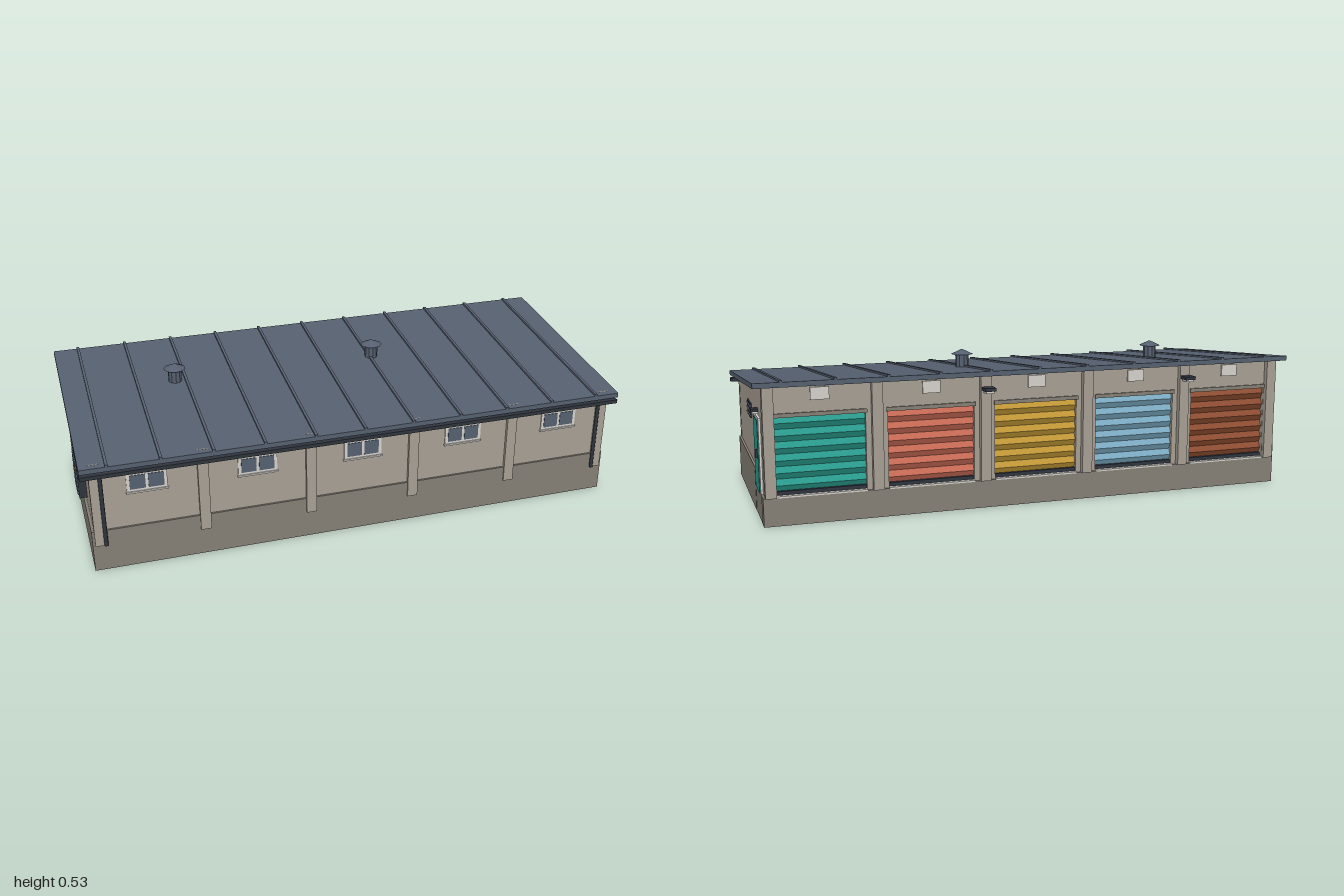
import * as THREE from 'three';

const mat = (name, color, side = THREE.FrontSide) => {
  const m = new THREE.MeshStandardMaterial({ color, side });
  m.name = name;
  return m;
};

export function createModel() {
  const root = new THREE.Group();
  root.name = 'storageUnits';

  const wall = mat('wallRender', 0xa8a095);
  const plinth = mat('plinthConcrete', 0x857f76);
  const roof = mat('slateMetal', 0x566070);
  const dark = mat('darkMetal', 0x30353e);
  const light = mat('paleTrim', 0xd6d3cd);
  const teal = mat('teal', 0x2a9d8f);
  const ochre = mat('ochre', 0xc49a38);
  const doorMats = [teal, mat('coral', 0xc96b56), ochre, mat('skyBlue', 0x7dadc4), mat('rust', 0x8f4e32)];

  const add = (name, geometry, material) => {
    const m = new THREE.Mesh(geometry, material);
    m.name = name;
    root.add(m);
    return m;
  };
  // Box given by its extents
  const box = (name, material, x0, x1, y0, y1, z0, z1) => {
    const m = add(name, new THREE.BoxGeometry(x1 - x0, y1 - y0, z1 - z0), material);
    m.position.set((x0 + x1) / 2, (y0 + y1) / 2, (z0 + z1) / 2);
    return m;
  };
  // Side profile of [z, y] points, extruded from x0 to x1
  const profile = (name, material, pts, x0, x1) => {
    const g = new THREE.ExtrudeGeometry(new THREE.Shape(pts.map(p => new THREE.Vector2(...p))),
      { depth: x1 - x0, bevelEnabled: false });
    g.rotateY(-Math.PI / 2);
    g.translate(x1, 0, 0);
    return add(name, g, material);
  };

  // Underside height of the sloping roof
  const under = z => 0.4 + (0.43 - z) * 0.0958;
  const slopeBand = (lo, hi) => [
    [-0.405, under(-0.405) + lo], [0.43, under(0.43) + lo],
    [0.43, under(0.43) + hi], [-0.405, under(-0.405) + hi]];
  const bayX = [0.775, 0.3875, 0, -0.3875, -0.775];
  const pierX = [-0.95, -0.58125, -0.19375, 0.19375, 0.58125, 0.95];

  // Roof with standing seams
  profile('roof', roof, slopeBand(0, 0.018), -1, 1);
  for (let i = -5; i <= 5; i++) {
    const x = i * 0.1815;
    profile('roofSeam', roof, slopeBand(0.017, 0.025), x - 0.005, x + 0.005);
  }

  // End walls and front wall
  for (const [x0, x1] of [[-0.968, -0.938], [0.938, 0.968]]) {
    profile('endWall', wall, [[-0.365, 0.09], [0.395, 0.09],
      [0.395, under(0.395) + 0.004], [-0.365, under(-0.365) + 0.004]], x0, x1);
  }
  box('frontWall', wall, -0.94, 0.94, 0.09, 0.405, 0.365, 0.395);

  // Back wall with five door openings
  const back = new THREE.Shape();
  back.moveTo(-0.94, 0.09).lineTo(0.94, 0.09).lineTo(0.94, 0.478).lineTo(-0.94, 0.478);
  const doorW = 0.155;
  for (const x of bayX) {
    const hole = new THREE.Path();
    hole.moveTo(x - doorW, 0.1).lineTo(x - doorW, 0.372).lineTo(x + doorW, 0.372).lineTo(x + doorW, 0.1);
    back.holes.push(hole);
  }
  const backGeo = new THREE.ExtrudeGeometry(back, { depth: 0.03, bevelEnabled: false });
  add('backWall', backGeo, wall).position.z = -0.365;

  // Plinth, stepped down beside the side door and along the back
  box('frontPlinth', plinth, -0.978, 0.976, 0, 0.157, 0.355, 0.402);
  box('backPlinth', plinth, -0.978, 0.976, 0, 0.1, -0.373, -0.325);
  box('leftPlinth', plinth, -0.978, -0.93, 0, 0.157, -0.373, 0.356);
  box('rightPlinth', plinth, 0.93, 0.976, 0, 0.157, -0.153, 0.356);
  box('rightLowPlinth', plinth, 0.93, 0.975, 0, 0.1, -0.326, -0.153);

  // Piers on the front and back
  for (const x of pierX) {
    box('frontPier', wall, x - 0.019, x + 0.019, 0.1, 0.4206, 0.38, 0.407);
    box('backPier', wall, x - 0.019, x + 0.019, 0.1, 0.479, -0.385, -0.35);
  }

  // Roller doors, thresholds and blank sign plates
  bayX.forEach((x, i) => {
    const pts = [[-0.338, 0.115], [-0.338, 0.372]];
    const n = 6, h = (0.372 - 0.115) / n;
    for (let k = n; k > 0; k--) {
      pts.push([-0.347, 0.115 + k * h], [-0.358, 0.115 + (k - 0.5) * h]);
    }
    pts.push([-0.347, 0.115]);
    profile('rollerDoor', doorMats[i], pts.reverse(), x - doorW, x + doorW);
    box('doorBottomRail', dark, x - doorW, x + doorW, 0.103, 0.117, -0.36, -0.338);
    box('threshold', light, x - doorW, x + doorW, 0.098, 0.104, -0.376, -0.336);
    box('doorLintel', plinth, x - doorW - 0.005, x + doorW + 0.005, 0.372, 0.386, -0.371, -0.36);
    box('signPlate', light, x - 0.032, x + 0.032, 0.427, 0.47, -0.371, -0.364);
  });

  // Front windows with glass reaching through the wall
  for (const x of bayX) {
    box('windowFrame', light, x - 0.07, x + 0.07, 0.29, 0.366, 0.392, 0.399);
    for (const s of [-1, 1]) {
      box('windowPane', roof, x + s * 0.032 - 0.027, x + s * 0.032 + 0.027, 0.301, 0.354, 0.363, 0.401);
    }
    box('windowSill', light, x - 0.073, x + 0.073, 0.286, 0.292, 0.392, 0.404);
  }

  // Gutter and downpipes
  box('gutter', dark, -1, 1, 0.376, 0.39, 0.407, 0.43);
  for (const x of [-0.932, 0.932]) {
    const pipe = add('downpipe', new THREE.CylinderGeometry(0.007, 0.007, 0.28, 8), dark);
    pipe.position.set(x, 0.242, 0.41);
  }

  // Roof ventilators and lamps on the back piers
  for (const x of [-0.585, 0.19]) {
    const stack = add('ventStack', new THREE.CylinderGeometry(0.025, 0.025, 0.066, 10).toNonIndexed(), roof);
    stack.position.set(x, 0.484, -0.073);
    const cap = add('ventCap', new THREE.ConeGeometry(0.041, 0.019, 10).toNonIndexed(), roof);
    cap.position.set(x, 0.5245, -0.073);
    for (const m of [stack, cap]) m.geometry.computeVertexNormals();
    box('backLampHood', dark, x - 0.02, x + 0.02, 0.429, 0.441, -0.425, -0.384);
    box('backLampLens', light, x - 0.015, x + 0.015, 0.421, 0.43, -0.419, -0.388);
  }

  // Side door on the right end
  box('sideDoorFrame', light, 0.965, 0.976, 0.1, 0.364, -0.313, -0.175);
  box('sideDoor', teal, 0.966, 0.979, 0.101, 0.353, -0.302, -0.188);
  box('sideDoorHandle', dark, 0.978, 0.987, 0.221, 0.251, -0.281, -0.273);
  box('sideLampHood', dark, 0.967, 0.993, 0.377, 0.387, -0.263, -0.228);
  box('sideLampLens', light, 0.967, 0.989, 0.369, 0.378, -0.258, -0.233);

  // Louvred vents on both ends
  for (const s of [-1, 1]) {
    const a = Math.min(s * 0.965, s * 0.973), b = Math.max(s * 0.965, s * 0.973);
    box('wallVent', dark, a, b, 0.313, 0.366, -0.041, 0.062);
    for (const y of [0.322, 0.339, 0.356]) {
      const slat = box('ventSlat', roof, s * 0.973 - 0.003, s * 0.973 + 0.003, y - 0.003, y + 0.003, -0.041, 0.062);
      slat.rotation.z = -s * 0.5;
    }
  }

  // Meter cabinet on the left end
  box('meterCabinet', dark, -0.996, -0.966, 0.2, 0.35, 0.125, 0.235);
  box('meterDoor', roof, -1, -0.995, 0.21, 0.34, 0.133, 0.227);
  box('meterLabel', ochre, -1.002, -0.998, 0.285, 0.31, 0.168, 0.192);

  return root;
}
